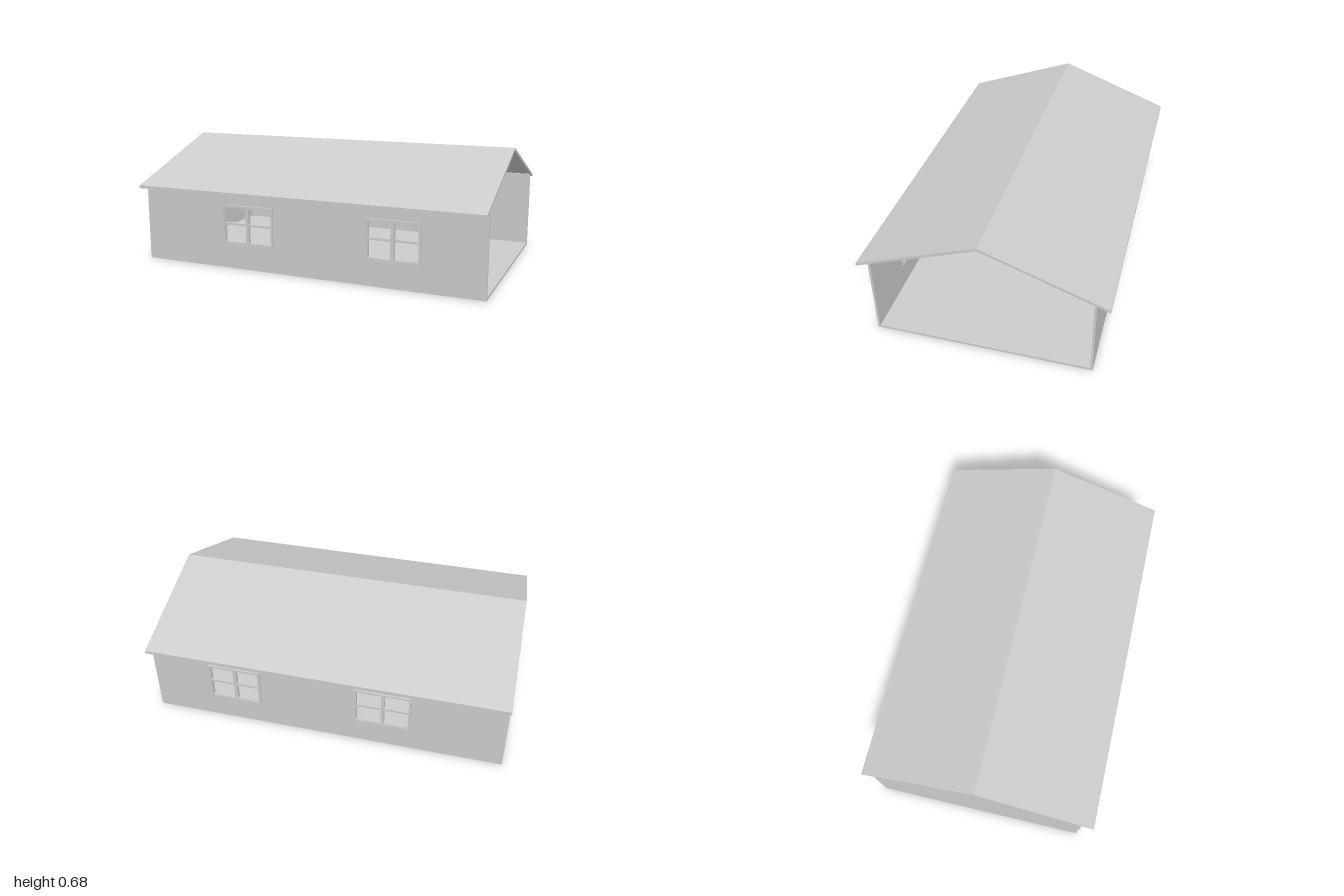
import * as THREE from 'three';

const material = new THREE.MeshStandardMaterial({ color: 0xcccccc, side: THREE.DoubleSide, flatShading: true });

const roofUnder = (z) => 0.667 - 0.368 * Math.abs(z); // underside of the roof at depth z
const HALF = 0.586;  // half depth of the house
const WALL = 0.013;  // wall thickness

function polygon(points) {
  return new THREE.Shape(points.map(([x, y]) => new THREE.Vector2(x, y)));
}

function rect(x0, y0, x1, y1) {
  return polygon([[x0, y0], [x1, y0], [x1, y1], [x0, y1]]);
}

// Extrude a drawing in the xy plane from z0 to z1
function slab(name, shape, z0, z1) {
  const geometry = new THREE.ExtrudeGeometry(shape, { depth: z1 - z0, bevelEnabled: false });
  geometry.translate(0, 0, z0);
  const mesh = new THREE.Mesh(geometry, material);
  mesh.name = name;
  return mesh;
}

// Extrude a cross-section drawn as [z, y] along the length of the house
function section(name, points, x0, x1) {
  const mesh = slab(name, polygon(points.map(([z, y]) => [-z, y])), x0, x1);
  mesh.geometry.rotateY(Math.PI / 2);
  return mesh;
}

// Window openings: outer frame rectangle and the columns of panes
const windows = [
  { x0: -0.488, x1: -0.171, columns: [[-0.473, -0.34], [-0.323, -0.186]] },
  { x0: 0.363, x1: 0.665, columns: [[0.378, 0.501], [0.521, 0.65]] },
];
const FRAME_Y = [0.14, 0.362];
const ROWS = [[0.155, 0.25], [0.262, 0.348]];

function createWindow({ x0, x1, columns }) {
  const group = new THREE.Group();
  group.name = 'window';
  const inset = 0.01;
  const frame = rect(x0, FRAME_Y[0], x1, FRAME_Y[1]);
  frame.holes.push(rect(x0 + inset, FRAME_Y[0] + inset, x1 - inset, FRAME_Y[1] - inset));
  const sash = rect(x0 + inset, FRAME_Y[0] + inset, x1 - inset, FRAME_Y[1] - inset);
  for (const [a, b] of columns) {
    for (const [c, d] of ROWS) sash.holes.push(rect(a, c, b, d));
  }
  group.add(slab('windowFrame', frame, 0.569, 0.597), slab('windowSash', sash, 0.573, 0.593));
  return group;
}

// Long wall with its two windows; side is +1 for front, -1 for back
function createLongWall(side) {
  const group = new THREE.Group();
  group.name = side > 0 ? 'frontWall' : 'backWall';
  const shape = rect(-0.995, 0, 0.998, roofUnder(HALF));
  for (const w of windows) {
    shape.holes.push(rect(w.x0 + 0.005, FRAME_Y[0] + 0.005, w.x1 - 0.005, FRAME_Y[1] - 0.005));
  }
  group.add(slab('wallPanel', shape, HALF - WALL, HALF));
  for (const w of windows) group.add(createWindow(w));
  // Flip front to back without moving the windows along x
  if (side < 0) {
    group.traverse((o) => {
      if (o.isMesh) {
        o.geometry.rotateY(Math.PI);
        o.geometry.scale(-1, 1, 1);
        // Mirroring reverses the corner order, so swap it back
        const { position, normal, uv } = o.geometry.attributes;
        for (const attribute of [position, normal, uv]) {
          const n = attribute.itemSize;
          for (let i = 0; i < attribute.count; i += 3) {
            for (let k = 0; k < n; k++) {
              const a = attribute.array;
              [a[(i + 1) * n + k], a[(i + 2) * n + k]] = [a[(i + 2) * n + k], a[(i + 1) * n + k]];
            }
          }
        }
      }
    });
  }
  return group;
}

// Closed gable end: smooth outside, vertical boards inside
function createGable() {
  const group = new THREE.Group();
  group.name = 'gableWall';
  group.add(section('gablePanel', [
    [HALF, 0], [HALF, roofUnder(HALF)], [0, roofUnder(0)], [-HALF, roofUnder(HALF)], [-HALF, 0],
  ], -0.996, -0.987));
  const count = 29, inner = HALF - WALL, pitch = (2 * inner) / count, gap = 0.018;
  for (let i = 0; i < count; i++) {
    const a = -inner + i * pitch + gap / 2;
    const b = a + pitch - gap;
    const top = a < 0 && b > 0 ? [[0, roofUnder(0)]] : [];
    group.add(section('board', [
      [a, 0.014], [a, roofUnder(a)], ...top, [b, roofUnder(b)], [b, 0.014],
    ], -0.988, -0.982));
  }
  return group;
}

export function createModel() {
  const house = new THREE.Group();
  house.name = 'house';

  // Floor slab
  const floor = new THREE.Mesh(new THREE.BoxGeometry(1.994, 0.014, 2 * HALF), material);
  floor.name = 'floor';
  floor.position.y = 0.007;
  house.add(floor);

  house.add(createLongWall(1), createLongWall(-1), createGable());

  // Pitched roof with overhanging eaves
  const eave = 0.653;
  house.add(section('roof', [
    [eave, roofUnder(eave)], [eave, 0.443], [0, 0.683], [-eave, 0.443], [-eave, roofUnder(eave)], [0, roofUnder(0)],
  ], -1, 1));

  return house;
}
